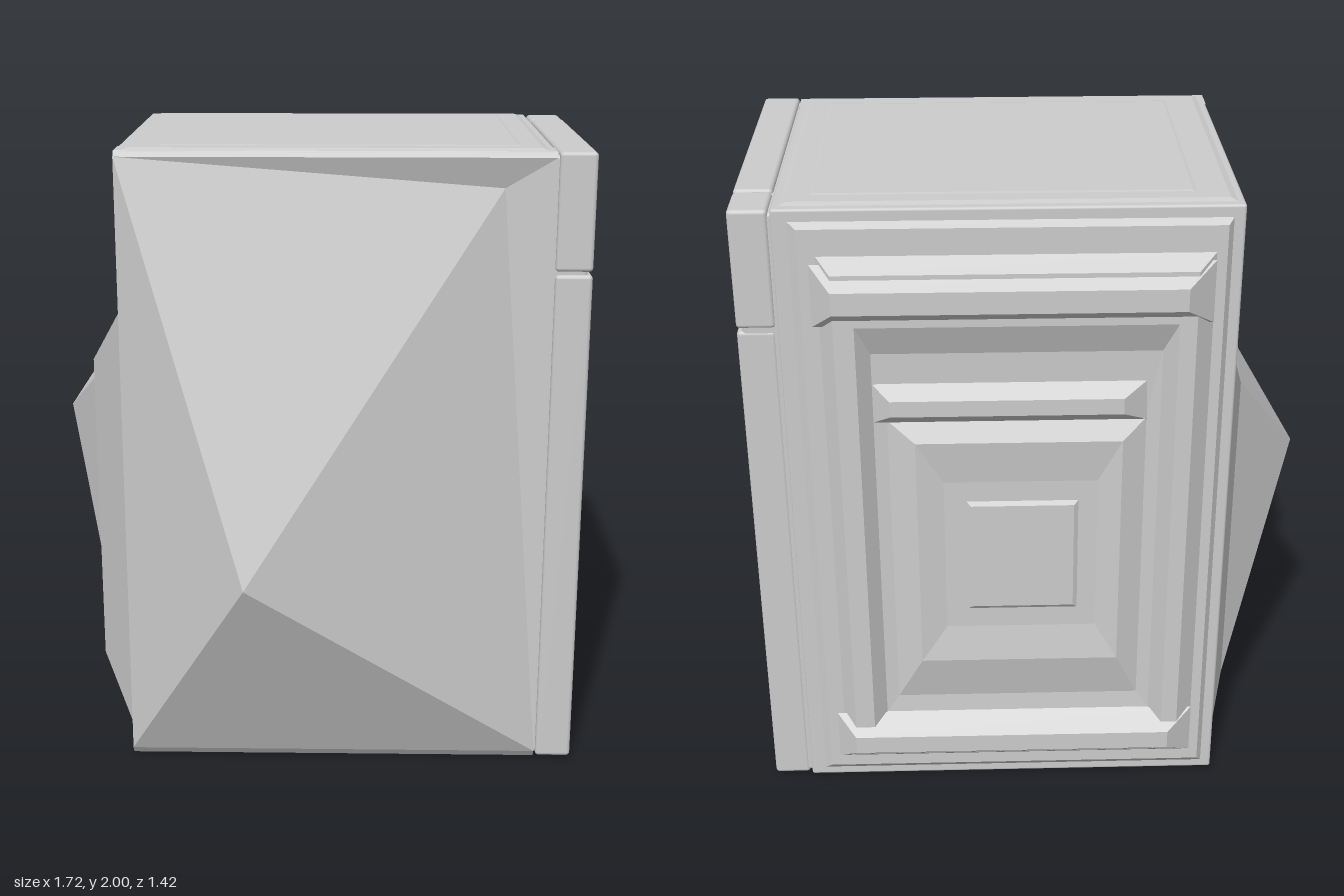
import * as THREE from 'three';
import { RoundedBoxGeometry } from 'three/addons/geometries/RoundedBoxGeometry.js';

export function createModel() {
  const group = new THREE.Group();
  const grey = new THREE.MeshStandardMaterial({ color: 0xcccccc });
  grey.name = 'light grey enamel';
  grey.side = THREE.DoubleSide;

  const add = (name, geometry) => {
    const mesh = new THREE.Mesh(geometry, grey);
    mesh.name = name;
    group.add(mesh);
    return mesh;
  };

  // Box given by its limits, with a small rounded edge
  const box = (name, [x0, x1], [y0, y1], [z0, z1], r = 0.012) => {
    const g = new RoundedBoxGeometry(x1 - x0, y1 - y0, z1 - z0, 2, r);
    g.translate((x0 + x1) / 2, (y0 + y1) / 2, (z0 + z1) / 2);
    return add(name, g);
  };

  // Flat-shaded faces from named corner points; each face is a string of letters
  const facets = (name, points, faces) => {
    const pos = [];
    for (const f of faces.split(' ')) {
      for (let i = 1; i < f.length - 1; i++) {
        for (const k of [f[0], f[i], f[i + 1]]) pos.push(...points[k]);
      }
    }
    const g = new THREE.BufferGeometry();
    g.setAttribute('position', new THREE.Float32BufferAttribute(pos, 3));
    g.computeVertexNormals();
    return add(name, g);
  };

  // Nested rectangles [u0, u1, v0, v1, height] joined by sloping bands, facing local +z
  const loft = (name, rings, cap = true) => {
    const pos = [];
    const corners = rings.map(([a, b, c, d, w]) => [[a, c, w], [b, c, w], [b, d, w], [a, d, w]]);
    const quad = (p, q, r, s) => pos.push(...p, ...q, ...r, ...p, ...r, ...s);
    for (let i = 0; i < corners.length - 1; i++) {
      const lo = corners[i], hi = corners[i + 1];
      for (let k = 0; k < 4; k++) {
        const n = (k + 1) % 4;
        quad(lo[k], lo[n], hi[n], hi[k]);
      }
    }
    if (cap) quad(...corners[corners.length - 1]);
    const g = new THREE.BufferGeometry();
    g.setAttribute('position', new THREE.Float32BufferAttribute(pos, 3));
    g.computeVertexNormals();
    return add(name, g);
  };

  // Cabinet and the open rim at its front
  box('cabinet', [-0.6, 0.72], [0.006, 1.992], [-0.615, 0.35], 0.008);
  loft('frontRim', [
    [-0.6, 0.72, 0.006, 1.992, 0.3],
    [-0.6, 0.72, 0.006, 1.992, 0.395],
    [-0.6, 0.72, 0.03, 1.975, 0.412],
  ], false);

  // Faceted front with one off-centre peak
  facets('frontPanel', {
    A: [-0.6, 1.975, 0.412], B: [0.72, 1.975, 0.412],
    C: [0.72, 0.03, 0.412], D: [-0.6, 0.03, 0.412],
    P: [-0.21, 0.71, 0.71], Q: [0.57, 1.88, 0.38],
  }, 'DCP CQP QAP ADP BAQ CBQ');

  // Shallow panels on top and underneath
  loft('topPanel', [
    [-0.59, 0.71, -0.4, 0.6, 1.988],
    [-0.56, 0.68, -0.37, 0.57, 1.998],
    [-0.47, 0.62, -0.32, 0.52, 1.998],
    [-0.46, 0.61, -0.31, 0.51, 2.0],
  ]).rotation.x = -Math.PI / 2;
  loft('bottomPanel', [
    [-0.58, 0.7, -0.59, 0.39, -0.008],
    [-0.54, 0.66, -0.55, 0.35, 0],
  ]).rotation.x = Math.PI / 2;

  // Right side: core, lower door, upper drawer and corner post
  box('doorCore', [0.7, 0.825], [0.02, 1.98], [-0.61, 0.4]);
  box('lowerDoor', [0.726, 0.84], [0.012, 1.622], [-0.612, 0.412]);
  box('upperDrawer', [0.726, 0.84], [1.632, 1.992], [-0.456, 0.412]);
  box('cornerPost', [0.726, 0.84], [1.632, 1.99], [-0.615, -0.464]);

  // Small faceted drawer pull
  facets('drawerPull', {
    a: [0.84, 1.71, 0.28], b: [0.84, 1.71, 0.12], c: [0.845, 1.91, 0.12],
    d: [0.84, 1.84, 0.28], e: [0.858, 1.81, 0.19], f: [0.85, 1.81, 0.105],
  }, 'abe bfe fce cde dae');

  // Left side: raised panel that leans out to a peak
  facets('leftPanel', {
    A: [-0.6, 1.5, 0.36], B: [-0.6, 0.08, 0.36], C: [-0.6, 0.08, -0.56], D: [-0.6, 1.5, -0.56],
    a: [-0.72, 1.29, 0.16], b: [-0.72, 0.26, 0.16], c: [-0.65, 0.25, -0.42], d: [-0.65, 1.34, -0.42],
    E: [-0.86, 1.03, -0.22], f: [-0.72, 1.22, 0.07], g: [-0.72, 0.5, 0.06], h: [-0.7, 0.4, -0.33],
  }, 'CBbc BAab ADda DCcd baf bfg bgh bhc adf hgE gfE fdE dcE chE');
  loft('leftVentPlate', [
    [-0.52, 0.3, 1.58, 1.92, 0.598],
    [-0.5, 0.28, 1.6, 1.9, 0.606],
  ]).rotation.y = -Math.PI / 2;

  // Back: stepped, nested pressings (u runs towards -x)
  const back = (name, rings) => { loft(name, rings).rotation.y = Math.PI; };
  back('backPanel', [
    [-0.68, 0.57, 0.03, 1.96, 0.61],
    [-0.65, 0.55, 0.06, 1.94, 0.635],
    [-0.6, 0.52, 0.1, 1.86, 0.635],
    [-0.56, 0.47, 0.14, 1.82, 0.68],
    [-0.5, 0.42, 0.24, 1.66, 0.68],
    [-0.46, 0.38, 0.28, 1.56, 0.64],
    [-0.42, 0.34, 0.34, 1.34, 0.635],
    [-0.34, 0.27, 0.5, 1.28, 0.67],
    [-0.26, 0.2, 0.62, 1.14, 0.655],
  ]);

  // Cross ridges on the back: [name, u0, u1, v0, v1, base, crest]
  for (const [name, u0, u1, v0, v1, base, crest] of [
    ['upperRidge', -0.62, 0.52, 1.65, 1.84, 0.645, 0.708],
    ['middleRidge', -0.47, 0.35, 1.33, 1.47, 0.63, 0.68],
    ['lowerRidge', -0.62, 0.52, 0.11, 0.28, 0.645, 0.705],
  ]) {
    const s = (v1 - v0) * 0.32;
    back(name, [
      [u0, u1, v0, v1, base],
      [u0 + 0.06, u1 - 0.08, v0 + s, v1 - s, crest],
    ]);
  }

  // Centre plate of the back
  back('centrePlate', [
    [-0.2, 0.15, 0.68, 1.08, 0.65],
    [-0.18, 0.13, 0.7, 1.06, 0.664],
  ]);

  return group;
}
